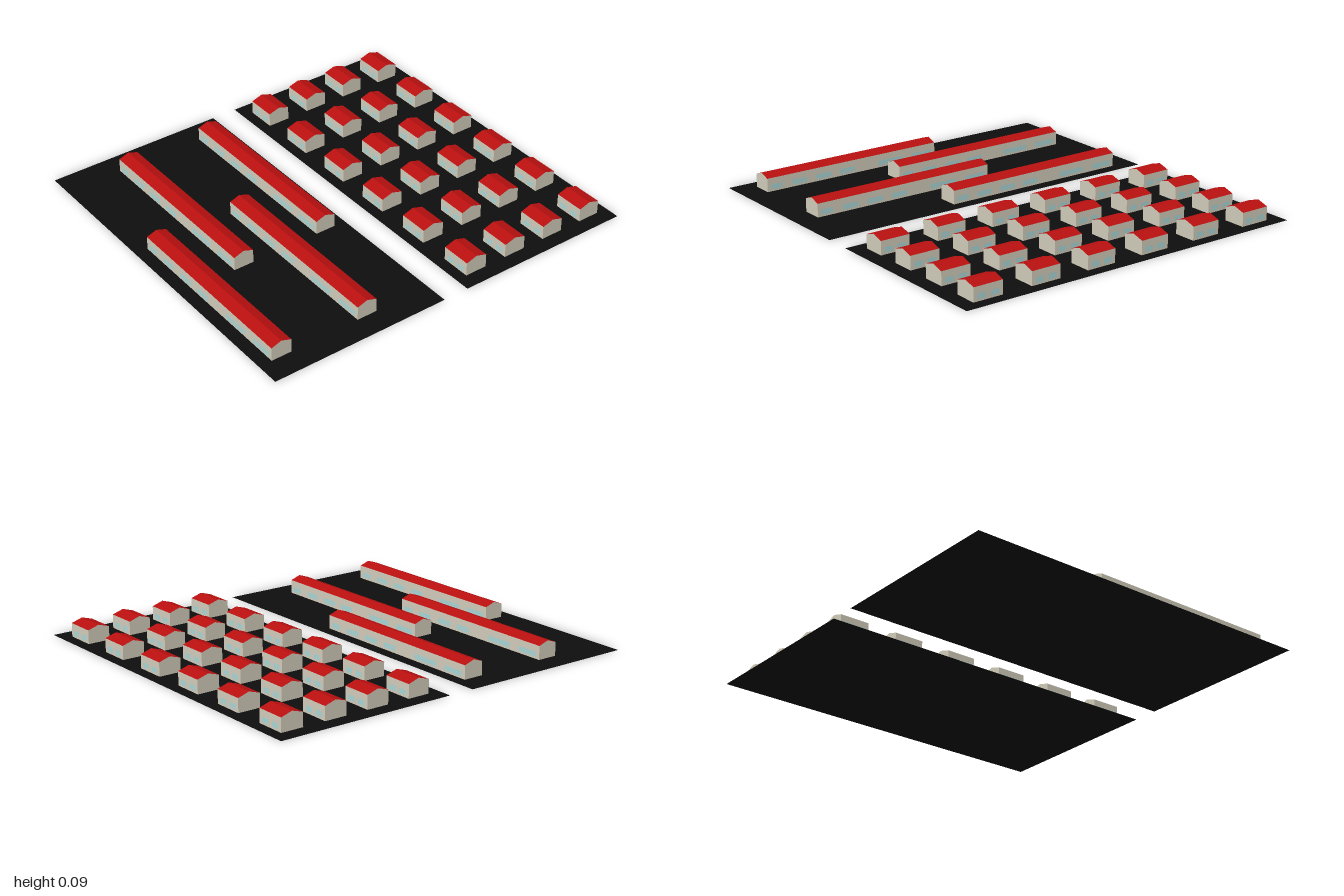
import * as THREE from 'three';

const mat = (color) => new THREE.MeshStandardMaterial({ color, side: THREE.DoubleSide, flatShading: true });
const wallMat = mat(0xcfcab8);
const roofMat = mat(0xb81010);
const groundMat = mat(0x0d0d0d);
const glassMat = mat(0xa9d3d3);

// Geometry from flat convex polygons, each a counter-clockwise loop of corners
function polygons(loops) {
  const pos = [];
  for (const p of loops) {
    for (let i = 1; i < p.length - 1; i++) pos.push(...p[0], ...p[i], ...p[i + 1]);
  }
  const g = new THREE.BufferGeometry();
  g.setAttribute('position', new THREE.Float32BufferAttribute(pos, 3));
  g.computeVertexNormals();
  return g;
}

const EAVE = 0.069;
const RIDGE = 0.087;

// House with its ridge along x; panes are [offset from left end, width]
function makeHouse(name, length, depth, panes) {
  const house = new THREE.Group();
  house.name = name;
  const x = length / 2;
  const z = depth / 2;
  const add = (part, geometry, material) => {
    const mesh = new THREE.Mesh(geometry, material);
    mesh.name = part;
    house.add(mesh);
  };

  // Long walls and gable ends
  add('walls', polygons([
    [[-x, 0, z], [x, 0, z], [x, EAVE, z], [-x, EAVE, z]],
    [[x, 0, -z], [-x, 0, -z], [-x, EAVE, -z], [x, EAVE, -z]],
    [[x, 0, z], [x, 0, -z], [x, EAVE, -z], [x, RIDGE, 0], [x, EAVE, z]],
    [[-x, 0, -z], [-x, 0, z], [-x, EAVE, z], [-x, RIDGE, 0], [-x, EAVE, -z]],
  ]), wallMat);

  // Two roof slopes
  add('roof', polygons([
    [[-x, EAVE, z], [x, EAVE, z], [x, RIDGE, 0], [-x, RIDGE, 0]],
    [[x, EAVE, -z], [-x, EAVE, -z], [-x, RIDGE, 0], [x, RIDGE, 0]],
  ]), roofMat);

  // Windows along the front and back walls
  const w = z + 0.0008;
  const loops = [];
  for (const [offset, width] of panes) {
    const a = -x + offset;
    const b = a + width;
    loops.push([[a, 0.01, w], [b, 0.01, w], [b, 0.036, w], [a, 0.036, w]]);
    loops.push([[-a, 0.01, -w], [-b, 0.01, -w], [-b, 0.036, -w], [-a, 0.036, -w]]);
  }
  add('windows', polygons(loops), glassMat);
  return house;
}

export function createModel() {
  const model = new THREE.Group();
  model.name = 'housingEstate';

  // Two flat plots separated by a gap
  for (const [name, z] of [['rearPlot', -0.5335], ['frontPlot', 0.5335]]) {
    const plot = new THREE.Mesh(new THREE.PlaneGeometry(1.866, 0.933).rotateX(-Math.PI / 2), groundMat);
    plot.name = name;
    plot.position.z = z;
    model.add(plot);
  }

  // Rear plot: grid of small houses
  const small = makeHouse('smallHouse', 0.155, 0.116, [[0.02, 0.045], [0.09, 0.045]]);
  for (let row = 0; row < 4; row++) {
    for (let col = 0; col < 6; col++) {
      const house = small.clone();
      house.position.set((col - 2.5) * 0.311, 0, -0.5335 + (row - 1.5) * 0.2333);
      model.add(house);
    }
  }

  // Front plot: four long terraces, staggered left and right
  const terrace = makeHouse('terrace', 1.0, 0.105,
    [[0.02, 0.065], [0.14, 0.085], [0.28, 0.09], [0.42, 0.09], [0.65, 0.15], [0.86, 0.12]]);
  for (let row = 0; row < 4; row++) {
    const house = terrace.clone();
    house.position.set(row % 2 ? 0.312 : -0.312, 0, 0.5305 + (row - 1.5) * 0.2333);
    model.add(house);
  }
  return model;
}
